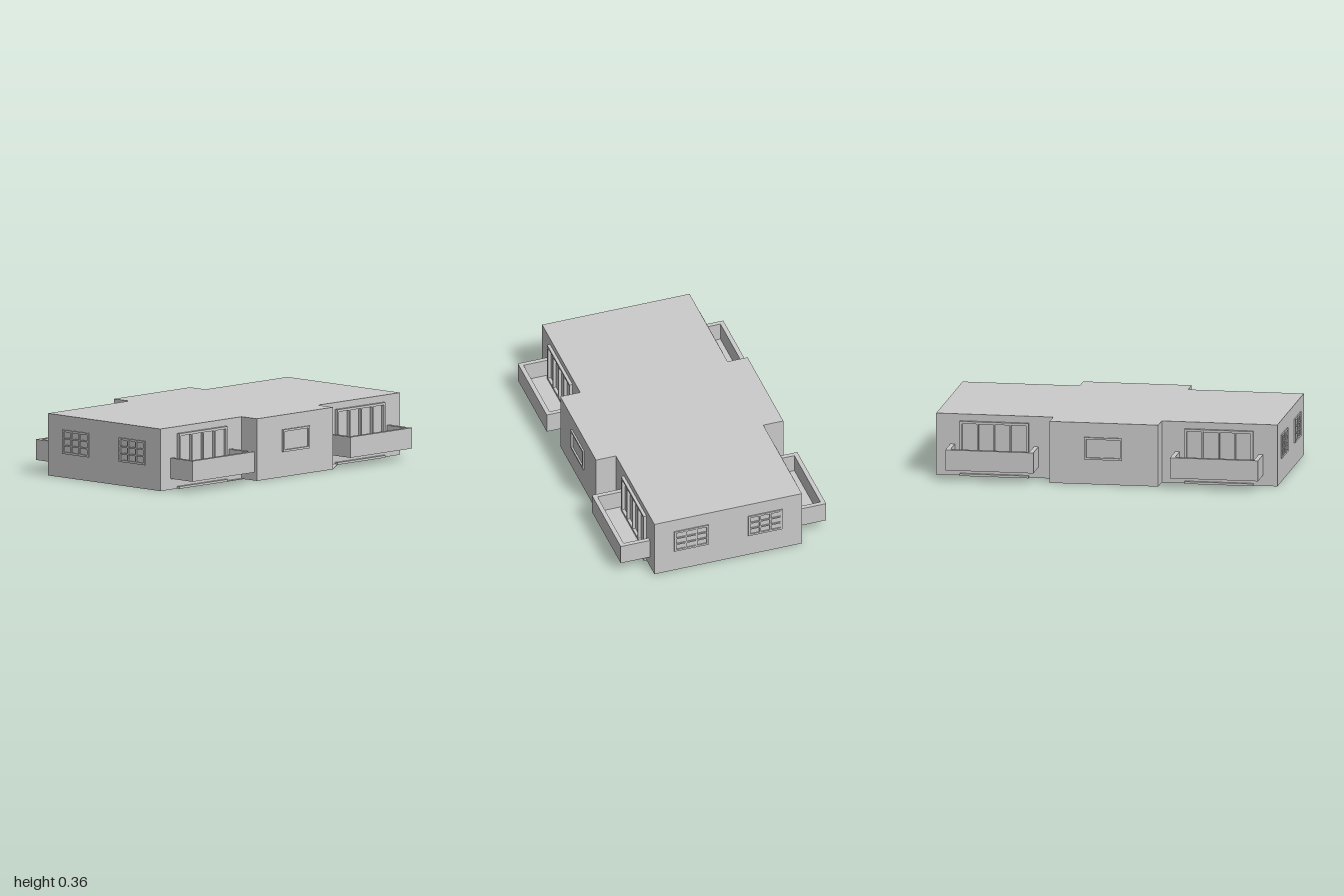
import * as THREE from 'three';

const material = new THREE.MeshStandardMaterial({ color: 0xcccccc, flatShading: true, side: THREE.DoubleSide });

function add(parent, name, geometry, x = 0, y = 0, z = 0) {
  const mesh = new THREE.Mesh(geometry, material);
  mesh.name = name;
  mesh.position.set(x, y, z);
  parent.add(mesh);
  return mesh;
}

// Extrudes a plan outline of [x, z] points upwards from y = 0
function planGeometry(points, height) {
  const shape = new THREE.Shape(points.map(([x, z]) => new THREE.Vector2(x, -z)));
  return new THREE.ExtrudeGeometry(shape, { depth: height, bevelEnabled: false }).rotateX(-Math.PI / 2);
}

// Frame with a grid of openings, standing on its lower edge, projecting to +z
function frameGeometry(w, h, depth, border, bar, cols, rows) {
  const shape = new THREE.Shape([[-w / 2, 0], [w / 2, 0], [w / 2, h], [-w / 2, h]].map(p => new THREE.Vector2(...p)));
  const cw = (w - 2 * border - (cols - 1) * bar) / cols;
  const ch = (h - 2 * border - (rows - 1) * bar) / rows;
  for (let i = 0; i < cols; i++) {
    for (let j = 0; j < rows; j++) {
      const x = -w / 2 + border + i * (cw + bar);
      const y = border + j * (ch + bar);
      shape.holes.push(new THREE.Path([[x, y], [x, y + ch], [x + cw, y + ch], [x + cw, y]].map(p => new THREE.Vector2(...p))));
    }
  }
  return new THREE.ExtrudeGeometry(shape, { depth, bevelEnabled: false });
}

// Glazed door, balcony and the step at ground level, set against a wall at z = 0
function createBalconyUnit() {
  const unit = new THREE.Group();
  unit.name = 'balconyUnit';
  const doorBase = 0.075, doorTop = 0.32;
  add(unit, 'balconyDoor', frameGeometry(0.4, doorTop - doorBase, 0.018, 0.014, 0.008, 4, 1), 0, doorBase, 0);
  add(unit, 'groundStep', new THREE.BoxGeometry(0.4, 0.013, 0.018), 0, 0.0065, 0.009);

  const hw = 0.256, d = 0.176, t = 0.026;
  const parapet = [[-hw, 0], [-hw, d], [hw, d], [hw, 0], [hw - t, 0], [hw - t, d - t], [-hw + t, d - t], [-hw + t, 0]];
  add(unit, 'balconyParapet', planGeometry(parapet, 0.12), 0, 0.063, 0);
  add(unit, 'balconyFloor', new THREE.BoxGeometry(2 * (hw - t), 0.012, d - t), 0, 0.069, (d - t) / 2);
  return unit;
}

export function createModel() {
  const model = new THREE.Group();
  model.name = 'building';
  const hx = 0.993, hz = 0.447, bayZ = 0.568, bayL = -0.32, bayR = 0.312;

  // Main block with a projecting bay at front and back
  add(model, 'walls', planGeometry([
    [-hx, hz], [bayL, hz], [bayL, bayZ], [bayR, bayZ], [bayR, hz], [hx, hz],
    [hx, -hz], [bayR, -hz], [bayR, -bayZ], [bayL, -bayZ], [bayL, -hz], [-hx, -hz],
  ], 0.36));

  // Thin ground slab that shows beside the bays
  const slab = [
    [[bayR, hz], [bayR, bayZ], [0.48, hz]],
    [[bayR, -hz], [0.327, -hz], [bayR, -bayZ]],
    [[-0.455, hz], [-0.455, 0.465], [bayL, 0.465], [bayL, hz]],
  ];
  for (const outline of slab) add(model, 'groundSlab', planGeometry(outline, 0.003));

  // Front and back facades
  for (const side of [1, -1]) {
    const facade = new THREE.Group();
    facade.name = side > 0 ? 'frontFacade' : 'backFacade';
    facade.rotation.y = side > 0 ? 0 : Math.PI;
    for (const x of [-0.654, 0.654]) {
      const unit = createBalconyUnit();
      unit.position.set(x, 0, hz);
      facade.add(unit);
    }
    add(facade, 'bayWindow', frameGeometry(0.22, 0.13, 0.01, 0.012, 0, 1, 1), 0, 0.145, bayZ);
    model.add(facade);
  }

  // Barred windows on the end walls
  for (const side of [1, -1]) {
    for (const z of [0.224, -0.224]) {
      const window = add(model, 'sideWindow', frameGeometry(0.208, 0.14, 0.007, 0.012, 0.008, 3, 3), side * hx, 0.138, z);
      window.rotation.y = side * Math.PI / 2;
    }
  }
  return model;
}
